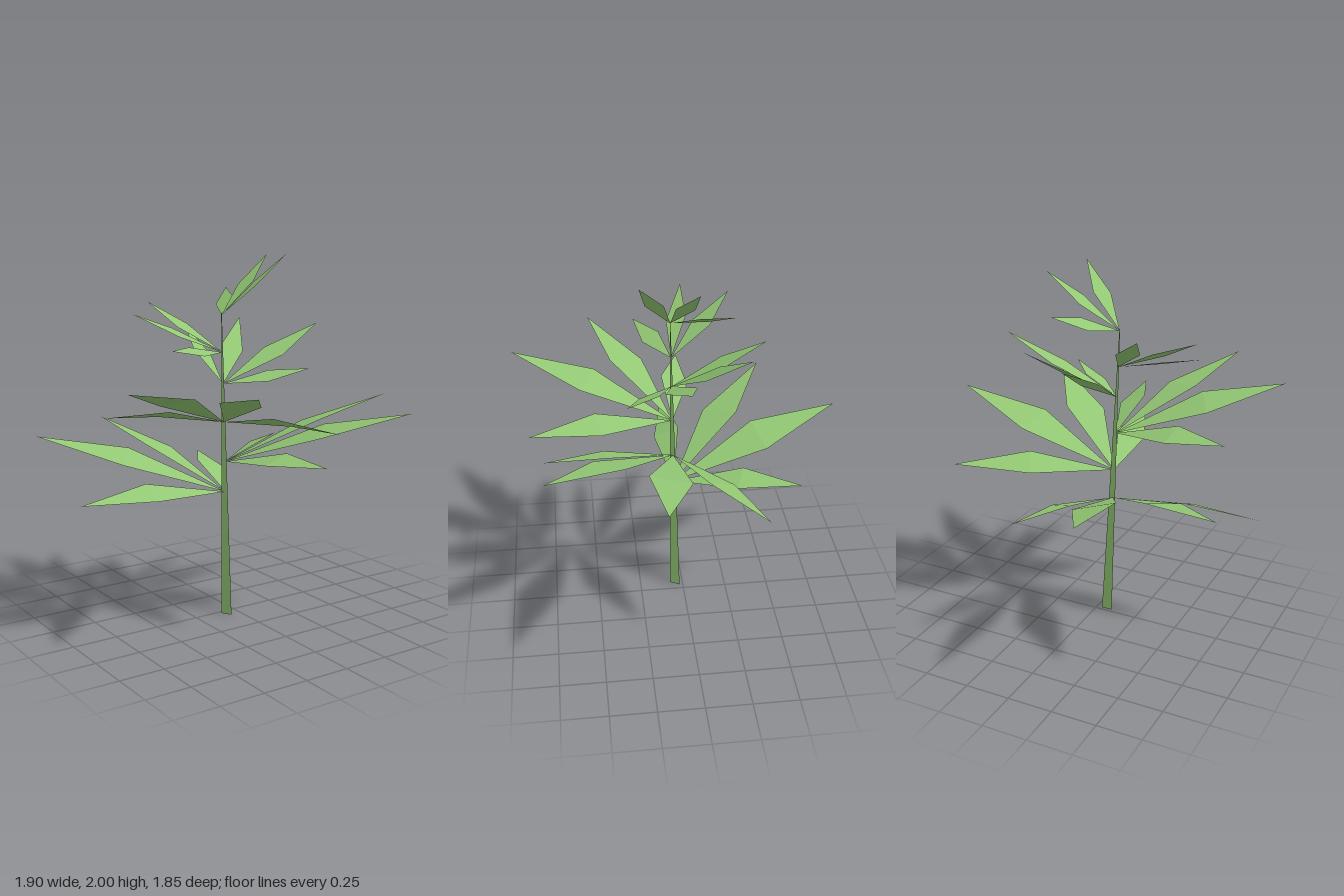
import * as THREE from 'three';

const leafGreen = new THREE.MeshStandardMaterial({ color: 0x93c874, flatShading: true, side: THREE.DoubleSide });
leafGreen.name = 'leaf green';

const STEM_HEIGHT = 1.69;
const stemFoot = new THREE.Vector3(-0.063, 0, 0.037);
const stemTop = new THREE.Vector3(-0.114, STEM_HEIGHT, 0.056);
const stemPoint = (y) => stemFoot.clone().lerp(stemTop, y / STEM_HEIGHT);

// Leaning three-sided stem, tapering to a point
function createStem() {
  const geometry = new THREE.CylinderGeometry(0.002, 0.036, STEM_HEIGHT, 3, 1, true);
  geometry.translate(0, STEM_HEIGHT / 2, 0);
  const p = geometry.attributes.position;
  for (let i = 0; i < p.count; i++) {
    const c = stemPoint(p.getY(i));
    p.setX(i, p.getX(i) + c.x);
    p.setZ(i, p.getZ(i) + c.z);
  }
  geometry.computeVertexNormals();
  const stem = new THREE.Mesh(geometry, leafGreen);
  stem.name = 'stem';
  return stem;
}

// Kite-shaped leaf folded across its widest line
function createLeaf(base, tip, halfWidth, tilt, lift) {
  const dir = tip.clone().sub(base).setY(0).normalize();
  const side = new THREE.Vector3(dir.z, 0, -dir.x).multiplyScalar(halfWidth).setY(tilt);
  const middle = base.clone().lerp(tip, 0.525);
  middle.y += lift;
  const a = middle.clone().add(side);
  const b = middle.clone().sub(side);
  const geometry = new THREE.BufferGeometry().setFromPoints([base, b, a, b, tip, a]);
  geometry.computeVertexNormals();
  const leaf = new THREE.Mesh(geometry, leafGreen);
  leaf.name = 'leaf';
  return leaf;
}

// Fans from bottom to top; each leaf is tip x, y, z, half width, edge tilt
const fans = [
  { y: 0.71, lift: 0.035, leaves: [
    [-0.345, 1.01, -0.925, 0.115, 0.03],
    [-0.92, 1.01, -0.57, 0.113, -0.025],
    [0.17, 0.79, -0.645, 0.075, 0.023],
    [-0.955, 0.755, 0.04, 0.073, -0.032]] },
  { y: 0.88, lift: 0.03, leaves: [
    [0.945, 1.18, 0.175, 0.113, -0.023],
    [0.61, 1.18, 0.76, 0.115, 0.02],
    [0.69, 0.925, -0.37, 0.08, -0.033],
    [0.045, 0.96, 0.77, 0.078, 0.022]] },
  { y: 1.1, lift: 0.03, leaves: [
    [-0.485, 1.38, 0.92, 0.105, -0.015],
    [-0.91, 1.38, 0.475, 0.105, 0.025],
    [0.07, 1.14, 0.835, 0.072, -0.03],
    [-0.76, 1.175, -0.04, 0.075, 0.025]] },
  { y: 1.31, lift: 0, leaves: [
    [0.555, 1.6, 0.02, 0.083, 0.013],
    [0.265, 1.62, -0.33, 0.06, 0.018],
    [-0.035, 1.585, -0.45, 0.05, 0.015],
    [0.275, 1.395, 0.32, 0.06, 0.022]] },
  { y: 1.48, lift: 0, leaves: [
    [-0.37, 1.74, -0.29, 0.065, -0.005],
    [-0.595, 1.7, -0.05, 0.055, -0.018],
    [-0.525, 1.53, 0.228, 0.05, -0.02]] },
  { y: 1.68, lift: 0, leaves: [
    [0.175, 2, 0.24, 0.055, 0.01],
    [0.257, 1.985, -0.057, 0.054, -0.012],
    [0.123, 1.8, -0.26, 0.045, -0.025]] },
];

export function createModel() {
  const model = new THREE.Group();
  model.name = 'leafy plant';
  model.add(createStem());
  fans.forEach(({ y, lift, leaves }, i) => {
    const fan = new THREE.Group();
    fan.name = `leafFan${i + 1}`;
    for (const [x, tipY, z, halfWidth, tilt] of leaves) {
      fan.add(createLeaf(stemPoint(y), new THREE.Vector3(x, tipY, z), halfWidth, tilt, lift));
    }
    model.add(fan);
  });
  return model;
}
